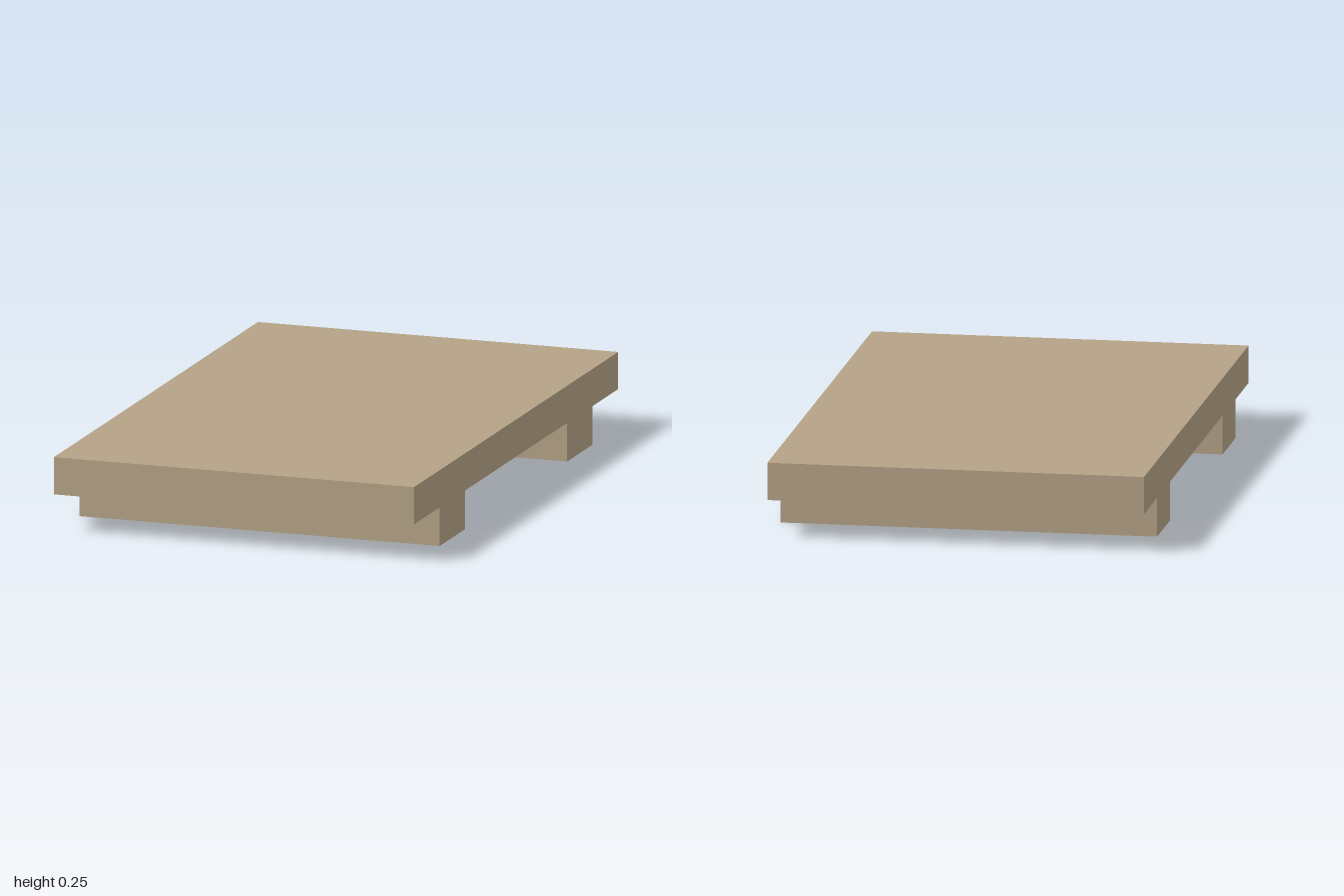
import * as THREE from 'three';

const WIDTH = 1.25;       // along x
const HALF_LENGTH = 1;    // along z
const TOP = 0.255;
const UNDERSIDE = 0.13;
const RUNNER_INNER = 0.5;
const RUNNER_OUTER = 0.75;

export function createModel() {
  const group = new THREE.Group();
  group.name = 'platform';

  const wood = new THREE.MeshStandardMaterial({ color: 0xb4a286 });
  wood.name = 'tan wood';

  // Side profile: flat deck with two runners beneath it
  const half = [
    [RUNNER_INNER, UNDERSIDE],
    [RUNNER_INNER, 0],
    [RUNNER_OUTER, 0],
    [RUNNER_OUTER, UNDERSIDE],
    [HALF_LENGTH, UNDERSIDE],
    [HALF_LENGTH, TOP],
  ];
  const mirrored = half.map(([z, y]) => [-z, y]).reverse();
  const profile = new THREE.Shape(
    [...half, ...mirrored].map(([z, y]) => new THREE.Vector2(z, y))
  );

  // Extrude across the width, then turn the profile to run along z
  const geometry = new THREE.ExtrudeGeometry(profile, { depth: WIDTH, bevelEnabled: false });
  geometry.translate(0, 0, -WIDTH / 2);
  geometry.rotateY(-Math.PI / 2);

  const deck = new THREE.Mesh(geometry, wood);
  deck.name = 'deckWithRunners';
  group.add(deck);

  return group;
}
